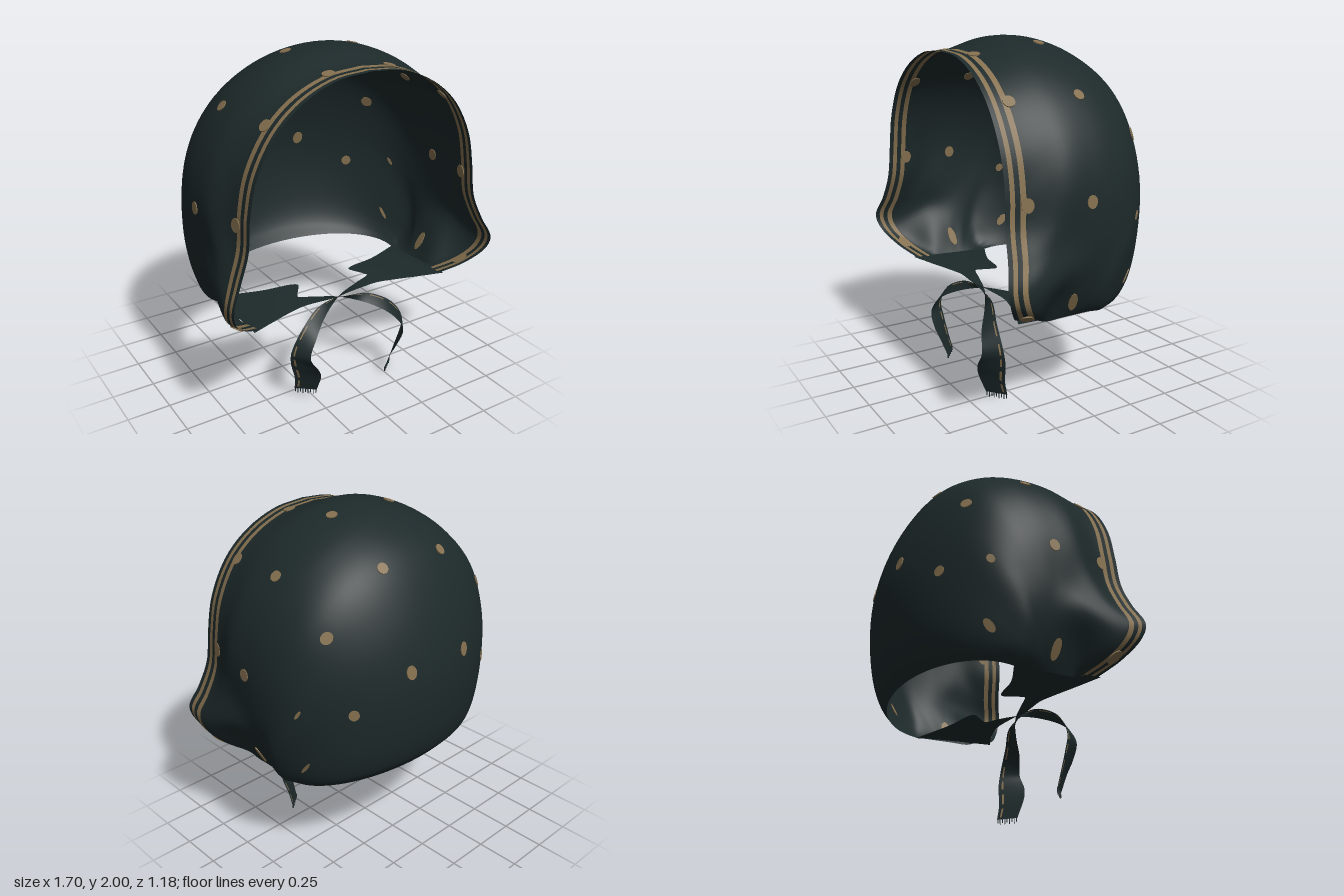
import * as THREE from 'three';

const cloth = new THREE.MeshStandardMaterial({ color: 0x1d292a, side: THREE.DoubleSide });
cloth.name = 'dark cloth';
const gold = new THREE.MeshStandardMaterial({ color: 0x85704f, side: THREE.DoubleSide });
gold.name = 'tan trim';

const V = (p) => new THREE.Vector3(...p);
const curve = (pts) => new THREE.CatmullRomCurve3(pts, false, 'centripetal');

// Smooth sheet from rows of points; trimmed cells get the tan material
function sheet(name, rows, isTrim) {
  const n = rows[0].length;
  const geo = new THREE.BufferGeometry().setFromPoints(rows.flat());
  const plain = [], trim = [];
  for (let i = 0; i < rows.length - 1; i++) {
    for (let j = 0; j < n - 1; j++) {
      const a = i * n + j, b = a + n;
      (isTrim(i, j) ? trim : plain).push(a, b, a + 1, a + 1, b, b + 1);
    }
  }
  geo.setIndex([...plain, ...trim]);
  geo.addGroup(0, plain.length, 0);
  geo.addGroup(plain.length, trim.length, 1);
  geo.computeVertexNormals();
  const mesh = new THREE.Mesh(geo, [cloth, gold]);
  mesh.name = name;
  return mesh;
}

// Half of the flared face opening, from the chin to the crown
const rim = curve([
  [0.62, 0.60, 0.42], [0.74, 0.67, 0.50], [0.83, 0.77, 0.57], [0.845, 0.85, 0.59],
  [0.79, 0.97, 0.56], [0.73, 1.12, 0.54], [0.71, 1.30, 0.53], [0.665, 1.50, 0.53],
  [0.55, 1.70, 0.53], [0.395, 1.83, 0.525], [0.20, 1.91, 0.52], [0, 1.93, 0.52],
].map(V));

// Back edge of the hem, parallel to the rim
function hem(a) {
  const p = rim.getPoint(a);
  const flare = THREE.MathUtils.clamp((p.z - 0.53) / 0.06, 0, 1);
  p.x += 0.016 * (1 - flare) * Math.min(1, p.x / 0.4);
  p.y += 0.008 * a - 0.02 * (1 - a);
  p.z -= 0.12;
  return p;
}

// Hood arches swinging from the crown to the nape:
// [crown y, crown z, base z, height of widest point, half width, roundness, cheek flare]
const arches = [
  [1.997, 0.20, 0.25, 0.44, 0.795, 1, 0.045], [1.993, 0.00, 0.15, 0.44, 0.80, 1, 0.015],
  [1.93, -0.18, 0.115, 0.41, 0.80, 0.95, 0], [1.80, -0.355, 0.08, 0.38, 0.79, 0.92, 0],
  [1.55, -0.50, 0.04, 0.30, 0.775, 0.96, 0], [1.20, -0.59, 0.00, 0.18, 0.73, 1, 0],
  [0.85, -0.573, -0.04, 0.10, 0.69, 1, 0], [0.69, -0.525, -0.06, 0.06, 0.665, 1, 0],
  [0.61, -0.46, -0.10, 0.03, 0.64, 1, 0],
];
function archPoint([my, mz, bz, c, w, power, flare], a) {
  const split = Math.max(0.1, c), baseY = 0.565;
  let x, h;
  if (a < split) {
    const k = 1 - a / split;
    x = w - (w - 0.64) * k ** 2.5;
    h = c * (1 - k);
  } else {
    const t = (a - split) / (1 - split) * Math.PI / 2;
    x = w * Math.max(0, Math.cos(t)) ** power;
    h = c + (1 - c) * Math.sin(t) ** power;
  }
  const y = baseY + (my - baseY) * h;
  x += flare * Math.exp(-(((y - 0.86) / 0.12) ** 2));
  return new THREE.Vector3(x, y, bz + (mz - bz) * h);
}

function buildHood() {
  const half = 50, spans = arches.length + 1;
  const steps = [0, 0.22, 0.44, 0.67, 0.92];      // hem bands
  for (let s = 1; s < spans; s++) for (let k = 0; k < 7; k++) steps.push(s + k / 7);
  steps.push(spans);
  const rows = steps.map(() => []);
  for (let j = 0; j <= 2 * half; j++) {
    const a = 1 - Math.abs(j - half) / half, side = j <= half ? 1 : -1;
    const line = curve([rim.getPoint(a), hem(a), ...arches.map((r) => archPoint(r, a))]);
    steps.forEach((s, i) => {
      const p = line.getPoint(s / spans);
      p.x *= side;
      rows[i].push(p);
    });
  }
  return sheet('hood', rows, (i) => i === 1 || i === 3);
}

// Spots on one half of the hood, snapped to the cloth:
// [x, y, z, disc scale x, disc scale z on the right, disc scale z on the left]
const spots = [
  [0.21, 1.26, -0.57, 1, 1.3, 1.3], [0.22, 1.78, -0.36, 1, 1, 1], [0.50, 1.08, -0.43, 0.95, 1, 1],
  [0.59, 1.50, -0.34, 1.15, 1, 1], [0.21, 1.96, 0.03, 1, 1, 1], [0.61, 1.74, 0.03, 1, 1, 1],
  [0.79, 1.22, 0.08, 1.15, 1, 1], [0.70, 0.67, 0.12, 2, 0.85, 0.85], [0.73, 1.09, -0.26, 0.9, 0.7, 0.3],
  [0.67, 0.74, -0.24, 1.4, 0.75, 0.3], [0.55, 1.71, 0.415, 1.1, 1.1, 1.1], [0.73, 1.23, 0.415, 1.25, 1.1, 1.1],
  [0.19, 1.93, 0.41, 1.1, 1.1, 1.1], [0.74, 0.69, 0.43, 1.5, 1, 1],
];
function buildSpots(hood) {
  const group = new THREE.Group();
  group.name = 'spots';
  const pos = hood.geometry.attributes.position, nor = hood.geometry.attributes.normal;
  const disc = new THREE.CylinderGeometry(0.031, 0.031, 0.009, 12);
  const p = new THREE.Vector3(), near = new THREE.Vector3(), normal = new THREE.Vector3();
  for (const [x, y, z, scaleX, rightZ, leftZ] of spots) for (const side of [1, -1]) {
    const target = new THREE.Vector3(side * x, y, z);
    let best = Infinity, index = 0;
    for (let i = 0; i < pos.count; i++) {
      const d = p.fromBufferAttribute(pos, i).distanceToSquared(target);
      if (d < best) { best = d; index = i; }
    }
    near.fromBufferAttribute(pos, index);
    normal.fromBufferAttribute(nor, index);
    const mesh = new THREE.Mesh(disc, gold);
    mesh.name = 'spot';
    mesh.position.copy(target).addScaledVector(normal, near.sub(target).dot(normal));
    mesh.quaternion.setFromUnitVectors(new THREE.Vector3(0, 1, 0), normal);
    mesh.scale.set(scaleX, 1, side > 0 ? leftZ : rightZ);
    group.add(mesh);
  }
  return group;
}

// Two edges of a tie: a pointed chin flap narrowing to a hanging, twisted ribbon
const edgeA = curve([
  [-0.65, 0.59, 0.42], [-0.50, 0.572, 0.35], [-0.36, 0.565, 0.30], [-0.26, 0.565, 0.28],
  [-0.15, 0.568, 0.29], [0, 0.562, 0.30], [0.18, 0.535, 0.31], [0.31, 0.46, 0.355],
  [0.39, 0.33, 0.36], [0.388, 0.24, 0.345], [0.355, 0.12, 0.33], [0.345, 0.03, 0.31],
].map(V));
const edgeB = curve([
  [-0.64, 0.567, -0.09], [-0.40, 0.585, 0.02], [-0.18, 0.59, 0.08], [-0.25, 0.58, 0.18],
  [-0.14, 0.565, 0.22], [0, 0.54, 0.26], [0.16, 0.485, 0.35], [0.27, 0.41, 0.43],
  [0.325, 0.31, 0.458], [0.275, 0.22, 0.46], [0.245, 0.15, 0.44], [0.245, 0.03, 0.392],
].map(V));

function buildTie(side, lift) {
  const group = new THREE.Group();
  group.name = side > 0 ? 'leftTie' : 'rightTie';
  const across = [0, 0.12, 0.2, 0.5, 0.75, 1], count = 77;
  const at = (t, f) => {
    const p = edgeA.getPoint(t).lerp(edgeB.getPoint(t), f);
    p.x *= side;
    p.y += lift * t;
    return p;
  };
  const rows = [];
  for (let i = 0; i <= count; i++) rows.push(across.map((f) => at(i / count, f)));
  // broken tan line along one edge
  group.add(sheet('ribbon', rows, (i, j) => j === 1 && i > 34 && i % 6 < 4));
  // frayed end
  for (let k = 0; k < 9; k++) {
    const length = 0.026 + 0.008 * (k % 2);
    const thread = new THREE.Mesh(new THREE.BoxGeometry(0.004, length, 0.004), cloth);
    thread.name = 'fringeThread';
    thread.position.copy(at(1, 0.04 + k * 0.115));
    thread.position.y -= length / 2 - 0.004;
    group.add(thread);
  }
  return group;
}

export function createModel() {
  const model = new THREE.Group();
  model.name = 'bonnet';
  const hood = buildHood();
  model.add(hood, buildSpots(hood), buildTie(1, 0), buildTie(-1, 0.03));
  return model;
}
